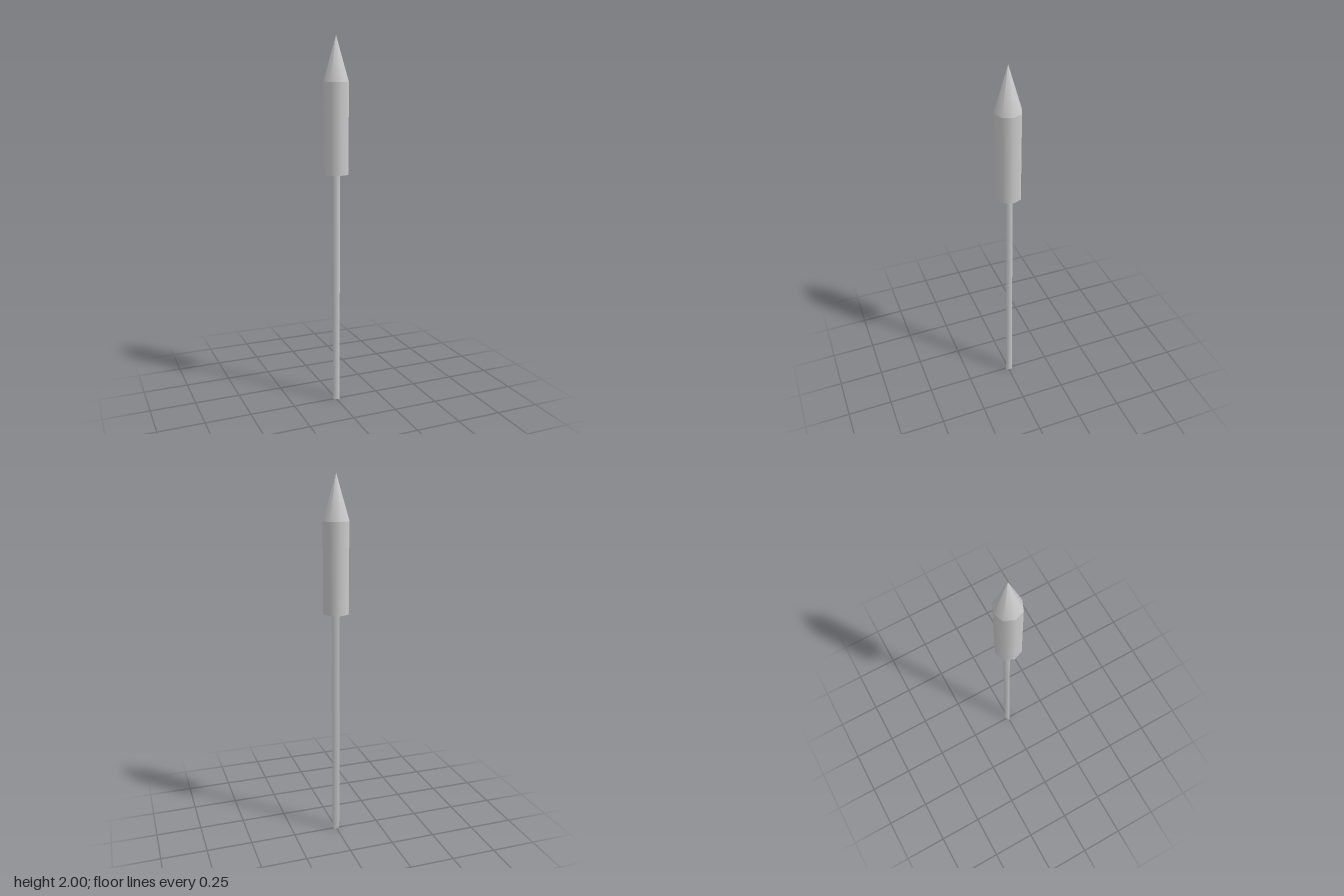
import * as THREE from 'three';

const material = new THREE.MeshStandardMaterial({ color: 0xcccccc });

// Upright prism or cone from y0 to y1
function column(name, rTop, rBottom, y0, y1, sides, start = 0) {
  const geometry = new THREE.CylinderGeometry(rTop, rBottom, y1 - y0, sides, 1, false, start);
  geometry.translate(0, (y0 + y1) / 2, 0);
  const mesh = new THREE.Mesh(geometry, material);
  mesh.name = name;
  return mesh;
}

export function createModel() {
  const group = new THREE.Group();
  group.name = 'fireworkRocket';

  // Three-sided guide stick, one edge towards -x
  const stick = column('stick', 0.0225, 0.0225, 0, 1.29, 3, -Math.PI / 2);
  stick.position.x = 0.003;

  // Eight-sided tube and pointed nose
  const body = column('body', 0.0715, 0.0715, 1.285, 1.765, 8);
  const nose = column('noseCone', 0, 0.0715, 1.765, 2, 8);

  group.add(stick, body, nose);
  return group;
}
